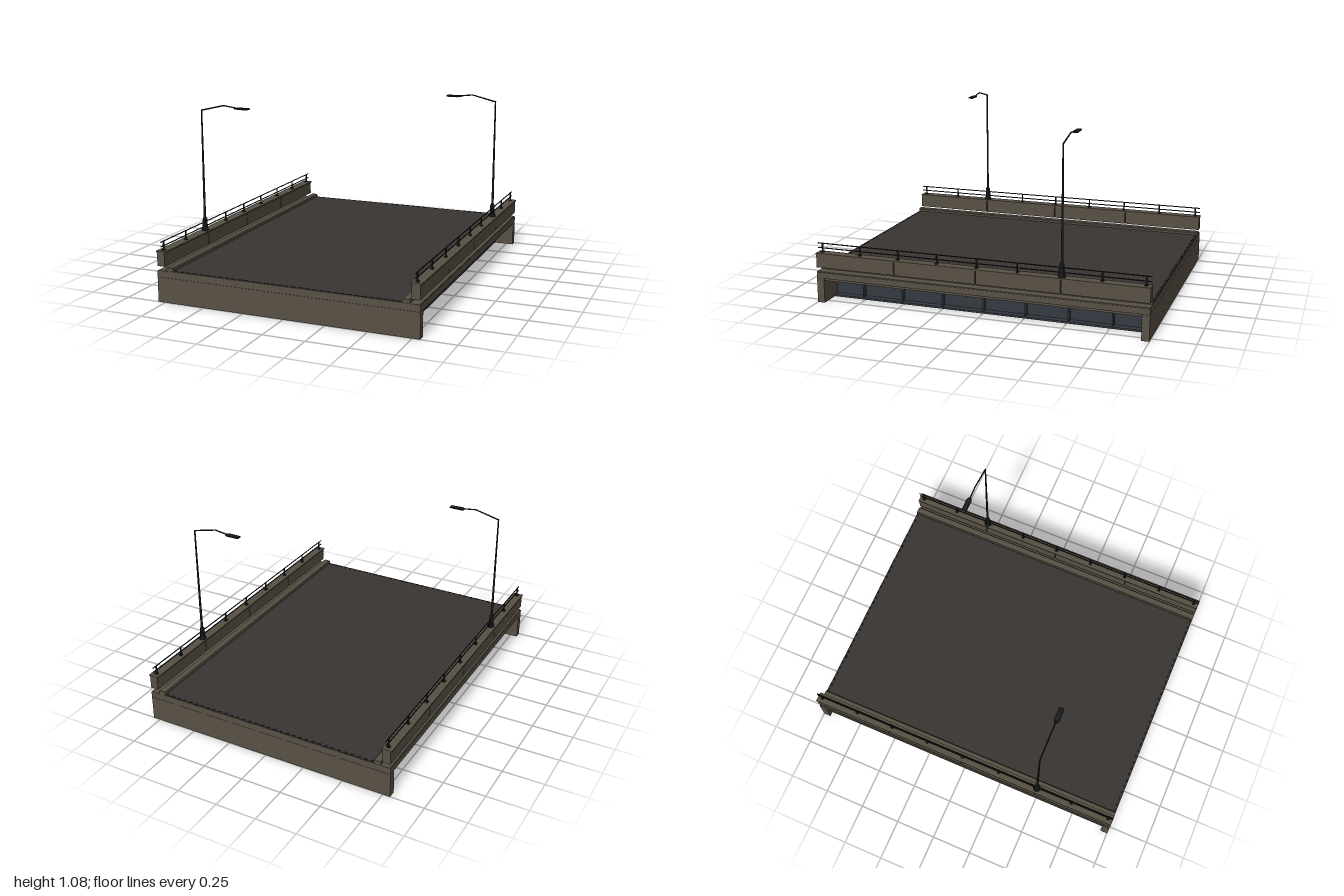
import * as THREE from 'three';

const mat = (color) => new THREE.MeshStandardMaterial({ color });
const concrete = mat(0x575044);
const asphalt = mat(0x393532);
const steel = mat(0x343a41);
const iron = mat(0x1b1c1d);
const lens = mat(0x8a5a2a);

function add(parent, name, geometry, material, x = 0, y = 0, z = 0) {
  const mesh = new THREE.Mesh(geometry, material);
  mesh.name = name;
  mesh.position.set(x, y, z);
  parent.add(mesh);
  return mesh;
}

// Box given by its limits on each axis
function block(parent, name, material, [x0, x1], [y0, y1], [z0, z1]) {
  return add(parent, name, new THREE.BoxGeometry(x1 - x0, y1 - y0, z1 - z0), material,
    (x0 + x1) / 2, (y0 + y1) / 2, (z0 + z1) / 2);
}

// Straight round bar between two points
function bar(parent, name, material, a, b, r0, r1 = r0, sides = 8) {
  const p = new THREE.Vector3(...a), q = new THREE.Vector3(...b);
  const mesh = add(parent, name, new THREE.CylinderGeometry(r1, r0, p.distanceTo(q), sides), material);
  mesh.position.copy(p).add(q).multiplyScalar(0.5);
  mesh.quaternion.setFromUnitVectors(new THREE.Vector3(0, 1, 0), q.sub(p).normalize());
  return mesh;
}

function createDeck() {
  const deck = new THREE.Group();
  deck.name = 'deck';
  block(deck, 'slab', concrete, [-0.795, 0.795], [0.15, 0.186], [-1, 1]);
  block(deck, 'slabSoffit', concrete, [-0.785, 0.785], [0.135, 0.15], [-0.96, 0.96]);
  block(deck, 'walkEdge', concrete, [-0.79, 0.79], [0.186, 0.19], [-1, 1]);
  block(deck, 'roadSurface', asphalt, [-0.7, 0.7], [0.188, 0.193], [-0.998, 0.998]);
  for (const s of [-1, 1]) {
    const z = s * 0.9775;
    block(deck, 'endBeam', concrete, [-0.795, 0.795], [0, 0.149], [z - 0.0225, z + 0.0225]);
    // Expansion joint teeth
    for (let i = 0; i < 34; i++) {
      add(deck, 'jointTooth', new THREE.BoxGeometry(0.02, 0.003, 0.012), iron,
        -0.68 + i * 1.36 / 33, 0.193, s * 0.99);
    }
  }
  return deck;
}

function createGirders() {
  const frame = new THREE.Group();
  frame.name = 'girders';
  const step = 0.315, half = 0.955;
  for (let i = -2; i <= 2; i++) {
    const x = i * step;
    block(frame, 'girderWeb', steel, [x - 0.006, x + 0.006], [0.01, 0.122], [-half, half]);
    block(frame, 'bottomFlange', steel, [x - 0.045, x + 0.045], [0.002, 0.013], [-half, half]);
    block(frame, 'topFlange', steel, [x - 0.045, x + 0.045], [0.122, 0.135], [-half, half]);
    for (let k = -3; k <= 3; k++) {
      block(frame, 'webStiffener', steel, [x - 0.035, x + 0.035], [0.013, 0.122],
        [k * 0.255 - 0.004, k * 0.255 + 0.004]);
    }
  }
  // Cross bracing between neighbouring girders
  for (let i = -2; i < 2; i++) {
    for (const z of [-0.765, -0.255, 0.255, 0.765]) {
      const a = i * step + 0.02, b = (i + 1) * step - 0.02;
      bar(frame, 'braceDiagonal', steel, [a, 0.028, z], [b, 0.11, z], 0.006, 0.006, 4);
      bar(frame, 'braceDiagonal', steel, [a, 0.11, z], [b, 0.028, z], 0.006, 0.006, 4);
      bar(frame, 'braceChord', steel, [a, 0.028, z], [b, 0.028, z], 0.006, 0.006, 4);
      bar(frame, 'braceChord', steel, [a, 0.11, z], [b, 0.11, z], 0.006, 0.006, 4);
    }
  }
  return frame;
}

// Kerb, parapet and handrail for the +x side
function createEdge() {
  const edge = new THREE.Group();
  edge.name = 'parapetSide';
  const kerb = new THREE.Shape([[0.692, 0.191], [0.736, 0.191], [0.736, 0.208], [0.732, 0.212],
    [0.697, 0.212], [0.692, 0.206]].map((p) => new THREE.Vector2(...p)));
  add(edge, 'kerb', new THREE.ExtrudeGeometry(kerb, { depth: 2, bevelEnabled: false }), concrete, 0, 0, -1);
  for (let i = 0; i < 4; i++) {
    const z0 = -1 + i * 0.5 + (i > 0 ? 0.003 : 0);
    const z1 = -0.5 + i * 0.5 - (i < 3 ? 0.003 : 0);
    block(edge, 'parapetPanel', concrete, [0.745, 0.793], [0.215, 0.296], [z0, z1]);
  }
  block(edge, 'parapetCap', concrete, [0.738, 0.799], [0.295, 0.304], [-1, 1]);
  for (let i = -4; i <= 4; i++) {
    const z = i * 0.2425;
    block(edge, 'railPostFoot', iron, [0.757, 0.775], [0.303, 0.309], [z - 0.009, z + 0.009]);
    bar(edge, 'railPost', iron, [0.766, 0.303, z], [0.766, 0.358, z], 0.005);
  }
  for (const y of [0.33, 0.358]) {
    bar(edge, 'handrail', iron, [0.766, y, -1], [0.766, y, 1], 0.0035);
  }
  return edge;
}

// Street lamp standing at the origin, arm reaching towards -x
function createLamp() {
  const lamp = new THREE.Group();
  lamp.name = 'streetLamp';
  const profile = [[0, 0], [0.022, 0], [0.022, 0.012], [0.017, 0.02], [0.014, 0.075], [0.009, 0.085], [0.007, 0.09]]
    .map((p) => new THREE.Vector2(...p));
  const base = new THREE.LatheGeometry(profile, 8).toNonIndexed();
  base.computeVertexNormals();
  add(lamp, 'lampBase', base, iron);
  bar(lamp, 'lampPole', iron, [0, 0.08, 0], [0, 0.744, 0], 0.0075, 0.0045);
  bar(lamp, 'lampArm', iron, [0, 0.742, 0], [-0.15, 0.778, 0], 0.0045, 0.004);
  bar(lamp, 'lampArm', iron, [-0.15, 0.778, 0], [-0.25, 0.765, 0], 0.004);
  // Lamp head tapering towards the arm
  const outline = new THREE.Shape([[-0.315, -0.013], [-0.24, -0.015], [-0.225, -0.007], [-0.225, 0.007],
    [-0.24, 0.015], [-0.315, 0.013]].map((p) => new THREE.Vector2(...p)));
  const head = new THREE.ExtrudeGeometry(outline, {
    depth: 0.005, bevelSize: 0.002, bevelThickness: 0.002, bevelSegments: 1,
  });
  head.rotateX(-Math.PI / 2);
  add(lamp, 'lampHead', head, iron, 0, 0.763, 0);
  add(lamp, 'lampLens', new THREE.BoxGeometry(0.065, 0.003, 0.022), lens, -0.275, 0.7605, 0);
  return lamp;
}

export function createModel() {
  const model = new THREE.Group();
  model.name = 'bridgeSection';
  model.add(createDeck(), createGirders());
  for (const s of [1, -1]) {
    // Half turns keep the two sides identical
    const side = new THREE.Group();
    side.name = s > 0 ? 'leftSide' : 'rightSide';
    side.rotation.y = s > 0 ? 0 : Math.PI;
    const lamp = createLamp();
    lamp.position.set(0.766, 0.303, -0.5);
    side.add(createEdge(), lamp);
    model.add(side);
  }
  return model;
}
